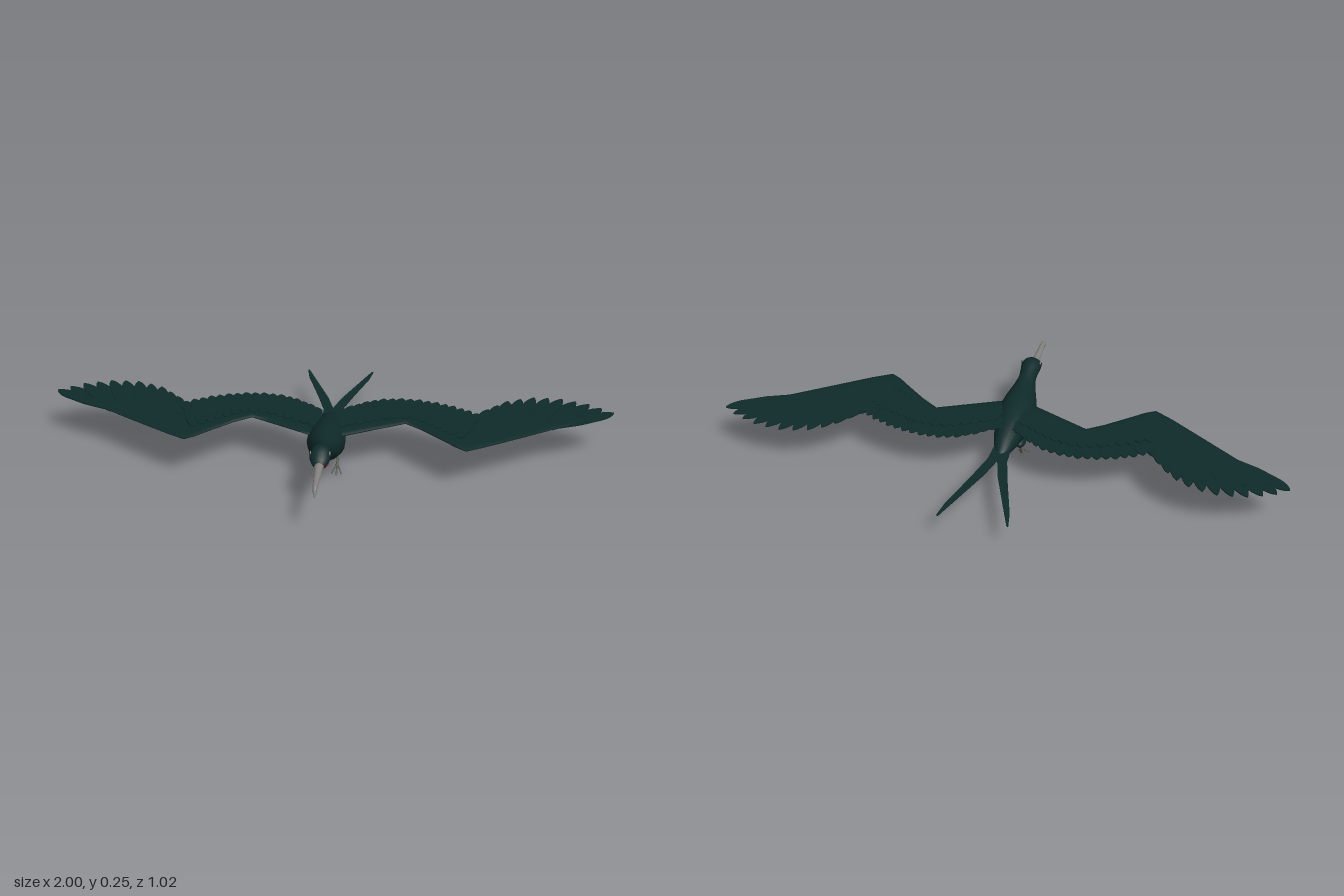
import * as THREE from 'three';

const mat = (name, color) => {
  const m = new THREE.MeshStandardMaterial({ color });
  m.name = name;
  return m;
};
const V = (x, y, z) => new THREE.Vector3(x, y, z);

// Closed smooth skin over a list of equal-length rings
function loft(rings) {
  const n = rings[0].length, pos = [], idx = [];
  rings.forEach(r => r.forEach(p => pos.push(p.x, p.y, p.z)));
  for (let i = 0; i < rings.length - 1; i++) for (let j = 0; j < n; j++) {
    const a = i * n + j, b = i * n + (j + 1) % n;
    idx.push(a, b, b + n, a, b + n, a + n);
  }
  const last = (rings.length - 1) * n;
  for (let j = 1; j < n - 1; j++) {
    idx.push(0, j + 1, j);
    idx.push(last, last + j, last + j + 1);
  }
  const g = new THREE.BufferGeometry();
  g.setAttribute('position', new THREE.Float32BufferAttribute(pos, 3));
  g.setIndex(idx);
  g.computeVertexNormals();
  return g;
}

// Oval rings from [z, bottom, top, halfWidth], tail to head
const ovals = (rows, n = 20) => rows.map(([z, lo, hi, w]) =>
  Array.from({ length: n }, (_, j) => {
    const a = j / n * Math.PI * 2;
    return V(Math.cos(a) * w, (lo + hi) / 2 + Math.sin(a) * (hi - lo) / 2, z);
  }));

// Thin blade between two points, with a rounded-then-pointed vane
function blade(base, tip, width, depth = 0.004) {
  const dir = tip.clone().sub(base), L = dir.length(), w = width / 2;
  dir.normalize();
  const across = dir.clone().cross(V(0, 1, 0)).normalize();
  const s = new THREE.Shape();
  s.moveTo(-w * 0.5, 0);
  s.lineTo(-w, L * 0.35);
  s.lineTo(-w, L * 0.75);
  s.quadraticCurveTo(-w * 0.8, L * 0.93, 0, L);
  s.quadraticCurveTo(w * 0.8, L * 0.93, w, L * 0.75);
  s.lineTo(w, L * 0.35);
  s.lineTo(w * 0.5, 0);
  const g = new THREE.ExtrudeGeometry(s, { depth, bevelEnabled: false, curveSegments: 5 });
  const m = new THREE.Matrix4().makeBasis(across, dir, across.clone().cross(dir));
  return g.applyMatrix4(m.setPosition(base));
}

export function createModel() {
  const plumage = mat('dark plumage', 0x0f2a2a);
  const horn = mat('grey bill', 0x85837f);
  const skin = mat('grey leg skin', 0x5e5e5a);
  const red = mat('red pouch', 0xa81c26);
  const black = mat('black eye', 0x070809);

  const model = new THREE.Group();
  model.name = 'bird';
  const add = (parent, name, geo, m) => {
    const mesh = new THREE.Mesh(geo, m);
    mesh.name = name;
    parent.add(mesh);
    return mesh;
  };
  const ball = (parent, name, m, p, r) => {
    const mesh = add(parent, name, new THREE.SphereGeometry(1, 20, 14), m);
    mesh.position.set(...p);
    mesh.scale.set(...r);
    return mesh;
  };
  const tube = (parent, name, pts, r, m) => add(parent, name,
    new THREE.TubeGeometry(new THREE.CatmullRomCurve3(pts), 10, r, 7), m);

  // Body, neck and head in one skin
  add(model, 'body', loft(ovals([
    [-0.146, 0.113, 0.135, 0.016], [-0.1, 0.1, 0.162, 0.034], [-0.05, 0.088, 0.185, 0.047],
    [0, 0.08, 0.198, 0.057], [0.05, 0.079, 0.207, 0.065], [0.1, 0.083, 0.212, 0.067],
    [0.15, 0.103, 0.214, 0.058], [0.2, 0.136, 0.217, 0.042], [0.24, 0.162, 0.226, 0.031],
    [0.27, 0.174, 0.239, 0.032], [0.3, 0.18, 0.246, 0.036], [0.325, 0.181, 0.237, 0.034],
    [0.345, 0.182, 0.217, 0.024], [0.354, 0.185, 0.207, 0.015],
  ])), plumage);

  // Long bill with a hooked tip
  add(model, 'bill', loft(ovals([
    [0.335, 0.182, 0.211, 0.019], [0.37, 0.182, 0.207, 0.014], [0.43, 0.184, 0.203, 0.011],
    [0.48, 0.186, 0.203, 0.009], [0.495, 0.181, 0.203, 0.008], [0.503, 0.171, 0.198, 0.006],
    [0.508, 0.166, 0.183, 0.003], [0.509, 0.165, 0.17, 0.001],
  ], 14)), horn);

  // Throat pouch
  ball(model, 'throatPouch', red, [0, 0.134, 0.212], [0.021, 0.015, 0.037]);

  for (const side of [1, -1]) {
    const half = new THREE.Group();
    half.name = side > 0 ? 'leftSide' : 'rightSide';
    half.scale.x = side;
    model.add(half);

    // Eye with a pale rim
    ball(half, 'eyeRim', horn, [0.0325, 0.223, 0.31], [0.003, 0.007, 0.007]);
    ball(half, 'eye', black, [0.034, 0.223, 0.31], [0.004, 0.005, 0.005]);

    // Wing arm: stations [x, leading z, trailing z, y, thickness]
    const wing = new THREE.Group();
    wing.name = 'wing';
    half.add(wing);
    const stations = [
      [0.02, 0.125, -0.06, 0.178, 0.022], [0.1, 0.085, -0.075, 0.18, 0.021],
      [0.2, 0.036, -0.1, 0.182, 0.02], [0.27, 0.002, -0.11, 0.183, 0.019],
      [0.33, 0.045, -0.095, 0.183, 0.019], [0.4, 0.108, -0.07, 0.182, 0.018],
      [0.45, 0.155, -0.05, 0.181, 0.017], [0.485, 0.178, -0.04, 0.18, 0.016],
      [0.55, 0.14, -0.05, 0.179, 0.014], [0.7, 0.039, -0.09, 0.175, 0.012],
      [0.85, -0.064, -0.13, 0.172, 0.01], [0.97, -0.144, -0.165, 0.17, 0.006],
    ];
    add(wing, 'wingArm', loft(stations.map(([x, f, b, y, t]) =>
      Array.from({ length: 14 }, (_, j) => {
        const a = j / 14 * Math.PI * 2, s = Math.sin(a);
        const fat = 0.35 + 0.65 * (s + 1) / 2; // thin toward the trailing edge
        return V(x, y + Math.cos(a) * t / 2 * fat, (f + b) / 2 + s * (f - b) / 2);
      }))), plumage);

    // Feather rows: bases and tips follow two curves
    const row = (name, count, bases, tips, width, y0, y1) => {
      const curve = pts => new THREE.CatmullRomCurve3(pts.map(([x, z]) => V(x, 0, z)));
      const cb = curve(bases), ct = curve(tips);
      for (let i = 0; i < count; i++) {
        const u = i / (count - 1), b = cb.getPointAt(u), t = ct.getPointAt(u);
        b.y = t.y = y0 + (y1 - y0) * u + (i % 2) * 0.0015;
        add(wing, name, blade(b, t, width), plumage);
      }
    };
    row('secondaryFeather', 17, [[0.04, 0.02], [0.27, -0.04], [0.46, 0.05]],
      [[0.05, -0.085], [0.1, -0.125], [0.17, -0.165], [0.27, -0.178], [0.38, -0.158], [0.46, -0.125], [0.52, -0.09]],
      0.042, 0.183, 0.183);
    row('covertFeather', 15, [[0.05, 0.06], [0.27, -0.02], [0.46, 0.1]],
      [[0.06, -0.04], [0.17, -0.1], [0.27, -0.12], [0.38, -0.09], [0.5, -0.03]],
      0.04, 0.188, 0.188);
    row('primaryFeather', 12, [[0.48, 0.09], [0.58, 0.08], [0.7, 0.01], [0.8, -0.045]],
      [[0.525, -0.095], [0.57, -0.15], [0.63, -0.21], [0.72, -0.247], [0.8, -0.25], [0.88, -0.232], [0.95, -0.2], [1, -0.163]],
      0.05, 0.177, 0.168);

    // Tail streamer, drooping slightly
    const tail = [[0, -0.1], [0.03, -0.1], [0.034, -0.18], [0.064, -0.29], [0.112, -0.45],
      [0.123, -0.513], [0.117, -0.513], [0.085, -0.43], [0.024, -0.27], [0, -0.185]];
    const tailShape = new THREE.Shape(tail.map(([x, z]) => new THREE.Vector2(x, -z)).reverse());
    const tailGeo = new THREE.ExtrudeGeometry(tailShape, { depth: 0.004, bevelEnabled: false });
    tailGeo.rotateX(-Math.PI / 2);
    const p = tailGeo.attributes.position;
    for (let i = 0; i < p.count; i++) p.setY(i, p.getY(i) + 0.133 + (p.getZ(i) + 0.1) * 0.045);
    tailGeo.computeVertexNormals();
    add(half, 'tailStreamer', tailGeo, plumage);

    // Leg: feathered thigh, shin and four toes
    const leg = new THREE.Group();
    leg.name = 'leg';
    half.add(leg);
    ball(leg, 'thigh', plumage, [0.034, 0.084, 0.013], [0.019, 0.018, 0.033]);
    tube(leg, 'shin', [V(0.034, 0.075, 0.006), V(0.034, 0.05, 0.016), V(0.034, 0.022, 0.03)], 0.0045, skin);
    ball(leg, 'ankle', skin, [0.034, 0.022, 0.03], [0.006, 0.006, 0.006]);
    for (const [dx, z, y] of [[-0.018, 0.068, 0.004], [0, 0.077, 0.003], [0.018, 0.068, 0.004], [0, 0.004, 0.003]])
      tube(leg, 'toe', [V(0.034, 0.022, 0.03), V(0.034 + dx * 0.6, 0.016, 0.03 + (z - 0.03) * 0.6), V(0.034 + dx, y, z)], 0.003, skin);
  }
  return model;
}
